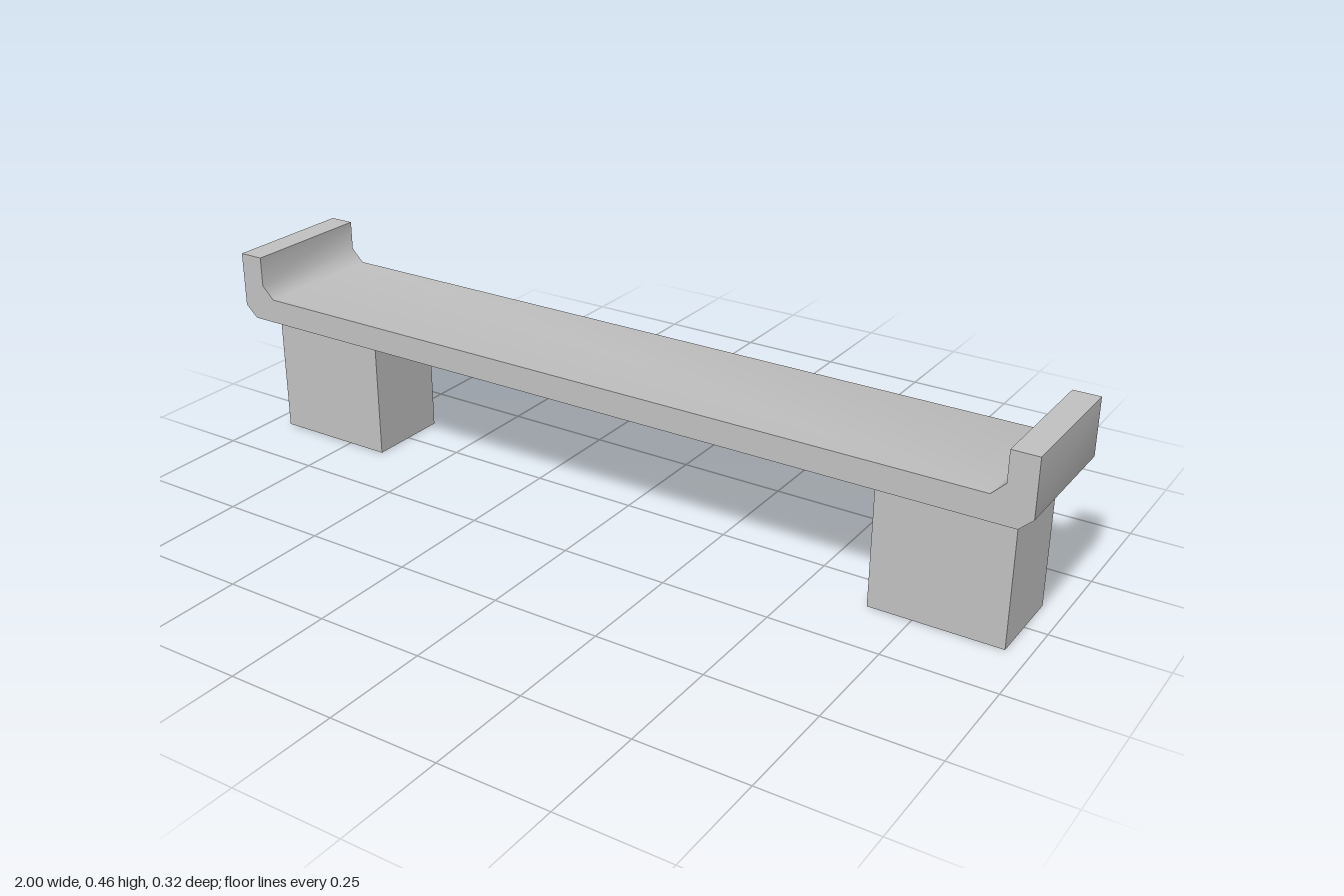
import * as THREE from 'three';
import { toCreasedNormals } from 'three/addons/utils/BufferGeometryUtils.js';

export function createModel() {
  const group = new THREE.Group();
  group.name = 'bench';

  const stone = new THREE.MeshStandardMaterial({ color: 0xbfbfbf });
  stone.name = 'light grey stone';

  // Seat: half profile with bevelled upturned end, mirrored across x = 0
  const half = [
    [0.97, 0.302], [1, 0.33], [1, 0.46], [0.94, 0.46], [0.94, 0.39], [0.91, 0.36],
  ];
  const mirrored = half.map(([x, y]) => [-x, y]).reverse();
  const profile = new THREE.Shape([...half, ...mirrored].map(([x, y]) => new THREE.Vector2(x, y)));
  const depth = 0.32;
  const seatGeometry = new THREE.ExtrudeGeometry(profile, { depth, bevelEnabled: false });
  seatGeometry.translate(0, 0, -depth / 2);

  // Shade softly over the bevels, keep square corners sharp
  const seat = new THREE.Mesh(toCreasedNormals(seatGeometry, 0.95), stone);
  seat.name = 'seat';
  group.add(seat);

  // Two block legs
  const legHeight = 0.302;
  const legGeometry = new THREE.BoxGeometry(0.3, legHeight, 0.2);
  for (const [name, side] of [['leftLeg', 1], ['rightLeg', -1]]) {
    const leg = new THREE.Mesh(legGeometry, stone);
    leg.name = name;
    leg.position.set(side * 0.8, legHeight / 2, 0);
    group.add(leg);
  }

  return group;
}
